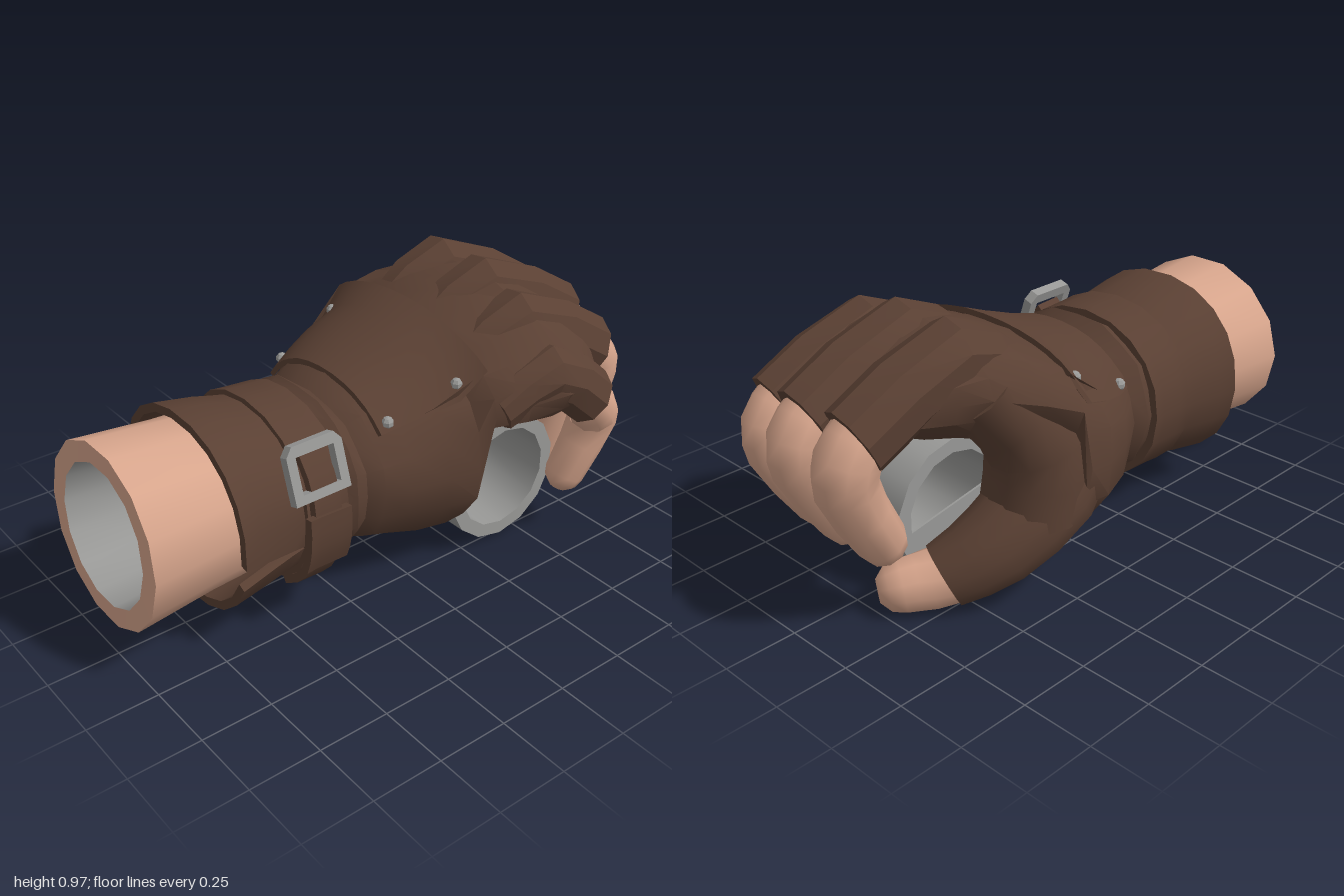
import * as THREE from 'three';
import { toCreasedNormals } from 'three/addons/utils/BufferGeometryUtils.js';

const skin = new THREE.MeshStandardMaterial({ color: 0xd7a58c });
skin.name = 'skin';
const leather = new THREE.MeshStandardMaterial({ color: 0x5a4033 });
leather.name = 'brown leather';
const metal = new THREE.MeshStandardMaterial({ color: 0x999997 });
metal.name = 'grey metal';

const V = (x, y, z) => new THREE.Vector3(x, y, z);
const TAU = Math.PI * 2;
const rad = THREE.MathUtils.degToRad;

// Skin over a row of closed rings, each running anticlockwise around the direction of travel
function loft(rings, capStart = true, capEnd = true, crease = 32) {
  const pos = [];
  const tri = (...p) => p.forEach(v => pos.push(v.x, v.y, v.z));
  const n = rings[0].length;
  const mid = ring => ring.reduce((s, p) => s.add(p), V(0, 0, 0)).divideScalar(n);
  for (let i = 0; i < rings.length - 1; i++) {
    for (let j = 0; j < n; j++) {
      const k = (j + 1) % n, a = rings[i], b = rings[i + 1];
      tri(a[j], a[k], b[k]);
      tri(a[j], b[k], b[j]);
    }
  }
  const first = rings[0], last = rings[rings.length - 1];
  for (let j = 0; j < n; j++) {
    const k = (j + 1) % n;
    if (capStart) tri(mid(first), first[k], first[j]);
    if (capEnd) tri(mid(last), last[j], last[k]);
  }
  const g = new THREE.BufferGeometry();
  g.setAttribute('position', new THREE.Float32BufferAttribute(pos, 3));
  return toCreasedNormals(g, rad(crease));
}

const ringOf = (n, f) => Array.from({ length: n }, (_, j) => f(j / n * TAU));

// Tapered limb along a curve, with an optional rounded tip
function limb(points, radii, sides, round) {
  const curve = new THREE.CatmullRomCurve3(points);
  const rings = [], steps = (points.length - 1) * 2;
  const add = (c, t, r) => {
    const n = V(1, 0, 0).addScaledVector(t, -t.x).normalize();
    const b = t.clone().cross(n);
    rings.push(ringOf(sides, a => c.clone().addScaledVector(n, r * Math.cos(a)).addScaledVector(b, r * Math.sin(a))));
  };
  for (let i = 0; i <= steps; i++) {
    const s = i / 2, k = Math.min(Math.floor(s), radii.length - 2);
    add(curve.getPoint(i / steps), curve.getTangent(i / steps), THREE.MathUtils.lerp(radii[k], radii[k + 1], s - k));
  }
  if (round) {
    const c = points[points.length - 1], t = curve.getTangent(1), r = radii[radii.length - 1];
    for (const [d, q] of [[0.5, 0.85], [0.85, 0.45]]) add(c.clone().addScaledVector(t, r * d), t, r * q);
  }
  return loft(rings, true, true, round ? 50 : 32);
}

// Cross-sections from wrist to fingers: z, left x, right x, bottom, top, sideways slope
const HAND = [
  [0.46, -0.34, 0.27, 0.13, 0.69, 0], [0.30, -0.34, 0.27, 0.14, 0.69, 0],
  [0.25, -0.36, 0.30, 0.13, 0.72, 0], [0.20, -0.34, 0.28, 0.16, 0.68, 0],
  [0.15, -0.38, 0.31, 0.13, 0.71, 0], [0.05, -0.44, 0.33, 0.10, 0.74, 0.02],
  [-0.08, -0.49, 0.37, 0.07, 0.79, 0.05], [-0.19, -0.50, 0.40, 0.07, 0.83, 0.08],
  [-0.24, -0.50, 0.41, 0.46, 0.85, 0.10], [-0.36, -0.46, 0.45, 0.50, 0.90, 0.14],
  [-0.50, -0.38, 0.48, 0.53, 0.94, 0.18], [-0.60, -0.34, 0.48, 0.56, 0.91, 0.20],
  [-0.72, -0.29, 0.38, 0.62, 0.84, 0.20],
];
const CUFF = [
  [0.70, -0.41, 0.31, 0.07, 0.76, 0], [0.56, -0.38, 0.29, 0.09, 0.74, 0],
  [0.44, -0.36, 0.28, 0.12, 0.71, 0], [0.28, -0.35, 0.28, 0.12, 0.70, 0],
];

// Point on a table of cross-sections, pushed outwards by off
function section(table, z, a, off = 0) {
  let i = 0;
  while (i < table.length - 2 && z < table[i + 1][0]) i++;
  const p = table[i], q = table[i + 1], u = (z - p[0]) / (q[0] - p[0]);
  const [, x0, x1, y0, y1, slope] = p.map((v, k) => THREE.MathUtils.lerp(v, q[k], u));
  const soft = v => Math.sign(v) * Math.abs(v) ** 0.93;
  const x = (x0 + x1) / 2 + ((x1 - x0) / 2 + off) * soft(Math.cos(a));
  const y = (y0 + y1) / 2 + ((y1 - y0) / 2 + off) * soft(Math.sin(a));
  return V(x, y - slope * Math.max(x, x * 0.3) * (y > 0.6 ? 1 : 0.3), z);
}

// Leather sheet wrapped on a table of cross-sections; slit opens it towards the front
function band(table, z0, z1, a0, a1, off, thick, steps = 20, slit = 0) {
  const rings = [], rows = 5, centre = (a0 + a1) / 2;
  for (let i = 0; i <= steps; i++) {
    const ring = [];
    for (let k = 0; k < rows * 2; k++) {
      const r = k < rows ? k : rows * 2 - 1 - k, f = r / (rows - 1);
      const half = (a1 - a0) / 2 - slit * (1 - f);
      const a = centre + half * (2 * i / steps - 1);
      ring.push(section(table, THREE.MathUtils.lerp(z0, z1, f), a, k < rows ? off : off - thick));
    }
    rings.push(ring);
  }
  return loft(rings);
}

export function createModel() {
  const model = new THREE.Group();
  const add = (name, geometry, material) => {
    const m = new THREE.Mesh(geometry, material);
    m.name = name;
    model.add(m);
    return m;
  };

  // Hollow forearm with a grey socket
  const armRing = (z, r) => ringOf(14, a => V(-0.05 + r * 1.01 * Math.cos(a), 0.43 + r * 0.97 * Math.sin(a), z - 0.015 * Math.sin(a)));
  add('forearm', loft([armRing(0.5, 0.285), armRing(0.7, 0.295), armRing(0.985, 0.322), armRing(0.985, 0.248)], true, false), skin);
  add('forearmSocket', loft([armRing(0.985, 0.248), armRing(0.62, 0.225)], false, true), metal);

  // Glove body with slightly uneven leather
  const body = HAND.map(([z], i) => Array.from({ length: 20 }, (_, j) =>
    section(HAND, z, -j / 20 * TAU, 0.006 * Math.sin(i * 5.3 + j * 2.9))));
  add('gloveHand', loft(body), leather);

  // Wrist cuff with a side slit, and strap
  add('gloveCuff', band(CUFF, 0.69, 0.43, rad(-15), rad(345), 0, 0.03, 20, 0.13), leather);
  add('wristStrap', band(CUFF, 0.45, 0.29, 0, TAU, 0.02, 0.03), leather);
  add('strapTail', band(CUFF, 0.44, 0.34, rad(-62), rad(42), 0.05, 0.03, 8), leather);
  add('strapKeeper', band(CUFF, 0.47, 0.31, rad(-24), rad(8), 0.06, 0.03, 4), leather);

  // Buckle frame
  const frame = new THREE.Shape([[-0.105, -0.09], [0.105, -0.09], [0.105, 0.07], [0.08, 0.1], [-0.08, 0.1], [-0.105, 0.07]].map(p => new THREE.Vector2(...p)));
  frame.holes.push(new THREE.Path([[-0.072, -0.06], [-0.072, 0.063], [0.072, 0.063], [0.072, -0.06]].map(p => new THREE.Vector2(...p))));
  const buckle = new THREE.ExtrudeGeometry(frame, { depth: 0.035, bevelEnabled: false });
  add('buckle', buckle.rotateY(Math.PI / 2).rotateZ(0.32), metal).position.set(0.255, 0.6, 0.4);

  // Plate on the back of the hand, with flat rivets
  add('backPlate', band(HAND, 0.13, -0.25, rad(38), rad(150), 0.02, 0.02, 12), leather);
  for (const [z, deg] of [[-0.17, 46], [0.09, 43], [-0.17, 137], [0.07, 145]]) {
    const rivet = add('rivet', new THREE.SphereGeometry(0.022, 7, 5).toNonIndexed(), metal);
    rivet.geometry.computeVertexNormals();
    rivet.position.copy(section(HAND, z, rad(deg), 0.016));
  }

  // Fingers: knuckle, middle joint, tip, radius
  const fingers = {
    index: [V(-0.22, 0.86, -0.52), V(-0.17, 0.68, -0.86), V(-0.14, 0.29, -0.75), 0.103],
    middle: [V(0, 0.86, -0.52), V(0.04, 0.68, -0.87), V(0.05, 0.28, -0.74), 0.103],
    ring: [V(0.2, 0.81, -0.5), V(0.25, 0.64, -0.82), V(0.23, 0.25, -0.7), 0.1],
    little: [V(0.38, 0.7, -0.48), V(0.41, 0.56, -0.67), V(0.36, 0.23, -0.64), 0.088],
  };
  for (const [name, [knuckle, joint, tip, r]] of Object.entries(fingers)) {
    const base = knuckle.clone().add(V(-0.02, -0.09, 0.2));
    const bend = joint.clone().lerp(tip, 0.42).add(V(0, 0.02, -0.07));
    add(name + 'FingerGlove', limb([base, knuckle, joint], [r * 0.85, r * 1.18, r * 1.17], 9, false), leather);
    add(name + 'Finger', limb([joint.clone().add(V(0, 0.03, 0.04)), joint.clone().add(V(0, -0.05, -0.025)), bend, tip],
      [r * 0.9, r, r * 0.98, r * 0.8], 10, true), skin);
  }

  // Thumb wrapping under the grip, with the web joining it to the first knuckle
  add('thumbWeb', limb([V(-0.27, 0.76, -0.46), V(-0.325, 0.53, -0.27), V(-0.32, 0.28, -0.28)], [0.13, 0.168, 0.17], 14, false), leather);
  add('thumbGlove', limb([V(-0.29, 0.5, -0.05), V(-0.33, 0.33, -0.22), V(-0.3, 0.2, -0.42), V(-0.22, 0.115, -0.57)],
    [0.16, 0.17, 0.145, 0.112], 14, false), leather);
  add('thumb', limb([V(-0.25, 0.13, -0.52), V(-0.19, 0.103, -0.6), V(-0.14, 0.092, -0.68)], [0.1, 0.1, 0.09], 10, true), skin);

  // Open tube held in the fist
  const gripRing = (x, r) => ringOf(14, a => V(x, 0.26 + r * Math.cos(a), -0.41 + r * Math.sin(a)));
  add('gripTube', loft([gripRing(-0.1, 0.24), gripRing(0.28, 0.24), gripRing(0.28, 0.19), gripRing(-0.1, 0.19), gripRing(-0.1, 0.24)], false, false), metal);

  // Lower part of the tube's inner end, closed against the thumb
  const end = new THREE.Shape().absarc(0, 0, 0.2, rad(170), rad(350), false);
  const endPlate = new THREE.ExtrudeGeometry(end, { depth: 0.008, bevelEnabled: false, curveSegments: 12 });
  add('gripEnd', endPlate.rotateY(Math.PI / 2), metal).position.set(-0.099, 0.26, -0.41);

  return model;
}
